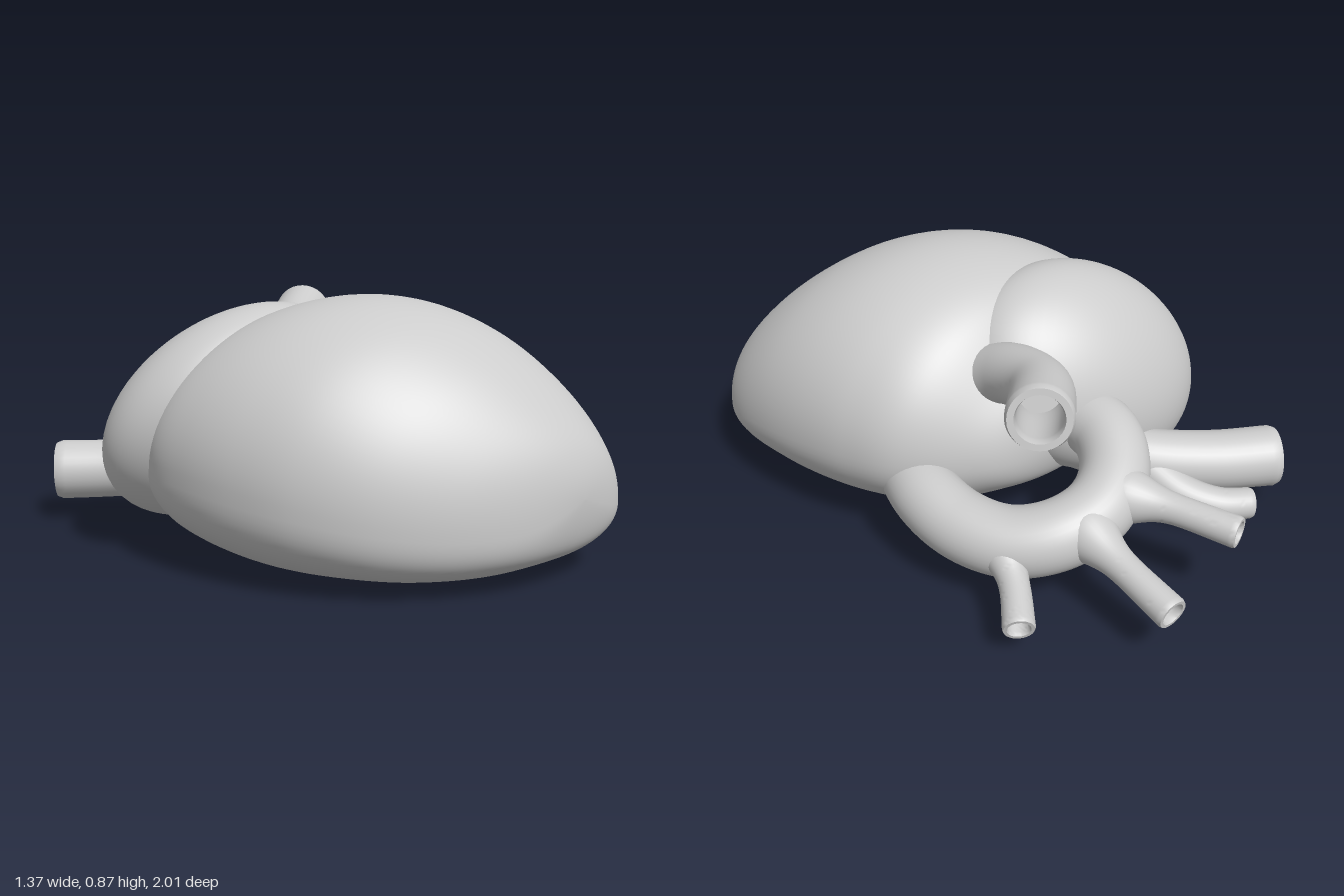
import * as THREE from 'three';
import { toCreasedNormals } from 'three/addons/utils/BufferGeometryUtils.js';

const material = new THREE.MeshStandardMaterial({ color: 0xcccccc, roughness: 0.7 });
const lerp = THREE.MathUtils.lerp;

// Skin a list of closed rings (arrays of Vector3, equal length)
function skin(rings) {
  const n = rings[0].length, pos = [], idx = [];
  rings.forEach(r => r.forEach(p => pos.push(p.x, p.y, p.z)));
  for (let i = 0; i < rings.length - 1; i++) {
    for (let j = 0; j < n; j++) {
      const k = (j + 1) % n;
      const a = i * n + j, b = i * n + k, c = a + n, d = b + n;
      idx.push(a, b, c, b, d, c);
    }
  }
  const g = new THREE.BufferGeometry();
  g.setAttribute('position', new THREE.Float32BufferAttribute(pos, 3));
  g.setIndex(idx);
  g.computeVertexNormals();
  return g;
}

function part(name, geometry) {
  const m = new THREE.Mesh(geometry, material);
  m.name = name;
  return m;
}

// Vessel with an open, hollow far end and softened lip; flare widens its base
function vessel(name, points, r0, r1, flare = 0, wall = 0.68) {
  const curve = new THREE.CatmullRomCurve3(points.map(p => new THREE.Vector3(...p)));
  const steps = 40, sides = 32;
  const frames = curve.computeFrenetFrames(steps);
  const ring = (i, r) => {
    const c = curve.getPointAt(i / steps), out = [];
    for (let j = 0; j < sides; j++) {
      const a = j / sides * Math.PI * 2;
      out.push(c.clone()
        .addScaledVector(frames.normals[i], Math.cos(a) * r)
        .addScaledVector(frames.binormals[i], Math.sin(a) * r));
    }
    return out;
  };
  const rings = [];
  for (let i = 0; i < steps; i++) {
    const t = i / steps;
    rings.push(ring(i, lerp(r0, r1, t) + flare * Math.exp(-t * t * 14)));
  }
  rings.push(ring(steps, r1 * 0.93), ring(steps, r1 * (wall + 0.05)));
  for (let i = steps - 1; i >= steps - 14; i--) rings.push(ring(i, r1 * wall));
  rings.push(ring(steps - 14, 0.0005));
  return part(name, toCreasedNormals(skin(rings), 0.8));
}

// Ventricles: cross-sections [z, xMin, xMax, yMin, yMax] from back to apex
function ventricles() {
  const rows = [
    [-0.285, -0.08, -0.08, 0.35, 0.35],
    [-0.248, -0.4, 0.22, 0.19, 0.51],
    [-0.149, -0.56, 0.4, 0.11, 0.64],
    [-0.008, -0.635, 0.56, 0.05, 0.79],
    [0.169, -0.64, 0.635, 0.015, 0.86],
    [0.365, -0.6, 0.67, 0, 0.868],
    [0.561, -0.515, 0.675, 0.008, 0.81],
    [0.738, -0.37, 0.65, 0.025, 0.695],
    [0.879, -0.165, 0.59, 0.06, 0.555],
    [0.969, 0.06, 0.485, 0.13, 0.425],
    [1, 0.285, 0.285, 0.285, 0.285],
  ];
  // Ghost rows mirrored past each pole keep the ends round
  const ghost = ([z, x0, x1, y0, y1]) => [z, x1, x0, y1, y0];
  const all = [ghost(rows[1]), ...rows, ghost(rows[rows.length - 2])];
  const spline = f => new THREE.CatmullRomCurve3(
    all.map(r => new THREE.Vector3(...f(r))), false, 'catmullrom', 0.5);
  const widths = spline(r => [r[1], r[2], r[0]]);
  const heights = spline(r => [r[3], r[4], r[0]]);
  const rings = [], steps = 90, sides = 96;
  for (let i = 0; i <= steps; i++) {
    const t = i / steps;
    const u = (1 + t * (rows.length - 1)) / (all.length - 1);
    const w = widths.getPoint(u), h = heights.getPoint(u);
    const cx = (w.x + w.y) / 2, rx = (w.y - w.x) / 2;
    const mid = lerp(h.x, h.y, 0.45 - 0.14 * t);
    const ring = [];
    for (let j = 0; j < sides; j++) {
      const a = j / sides * Math.PI * 2, c = Math.cos(a), s = Math.sin(a);
      // flatter underside, fuller on the right
      const e = 2 / (s >= 0 ? 2 : c < 0 ? 2.8 : 2.2);
      const x = cx + rx * Math.sign(c) * Math.abs(c) ** e;
      const y = mid + (s < 0 ? h.x - mid : h.y - mid) * Math.abs(s) ** e;
      ring.push(new THREE.Vector3(x, y, w.z));
    }
    rings.push(ring);
  }
  return part('ventricles', skin(rings));
}

export function createModel() {
  const heart = new THREE.Group();
  heart.name = 'heart';
  heart.add(ventricles());

  // Atrium bulging out behind the ventricles, leaning forward and down to the right
  const atrium = part('atrium', new THREE.SphereGeometry(1, 64, 48));
  atrium.scale.set(0.485, 0.372, 0.268);
  atrium.position.set(-0.23, 0.458, -0.13);
  atrium.rotation.set(0.525, 0, 0.54);
  heart.add(atrium);

  // Upper artery
  heart.add(vessel('pulmonaryArtery', [
    [0.195, 0.52, 0.03], [0.185, 0.615, -0.17], [0.245, 0.665, -0.36], [0.435, 0.72, -0.54],
  ], 0.1, 0.106));

  // Aortic arch, both ends buried in the heart
  const arch = new THREE.CatmullRomCurve3([
    [0.42, 0.25, 0.08], [0.49, 0.24, -0.1], [0.495, 0.215, -0.27], [0.44, 0.21, -0.43],
    [0.33, 0.24, -0.54], [0.19, 0.28, -0.575], [0.06, 0.33, -0.53], [-0.03, 0.38, -0.42],
    [-0.06, 0.4, -0.22],
  ].map(p => new THREE.Vector3(...p)));
  heart.add(part('aorticArch', new THREE.TubeGeometry(arch, 90, 0.117, 36)));

  // Branches of the arch
  const branches = new THREE.Group();
  branches.name = 'archBranches';
  branches.add(
    vessel('innerBranch', [[0.11, 0.31, -0.6], [0.06, 0.31, -0.75], [0, 0.3, -0.985]], 0.046, 0.052, 0.05),
    vessel('middleBranch', [[0.28, 0.26, -0.6], [0.305, 0.235, -0.75], [0.335, 0.19, -0.995]], 0.046, 0.055, 0.05),
    vessel('outerBranch', [[0.47, 0.21, -0.42], [0.55, 0.16, -0.55], [0.645, 0.12, -0.66]], 0.044, 0.052, 0.04),
  );
  heart.add(branches);

  // Lower veins, the smaller one splitting off beneath the larger
  const veins = new THREE.Group();
  veins.name = 'veins';
  veins.add(
    vessel('largeVein', [
      [-0.08, 0.25, -0.2], [-0.21, 0.21, -0.42], [-0.39, 0.185, -0.59], [-0.585, 0.18, -0.738],
    ], 0.1, 0.108, 0, 0.6),
    vessel('smallVein', [
      [-0.2, 0.2, -0.45], [-0.225, 0.14, -0.6], [-0.29, 0.11, -0.71], [-0.39, 0.098, -0.785],
    ], 0.07, 0.054, 0, 0.6),
  );
  heart.add(veins);
  return heart;
}
